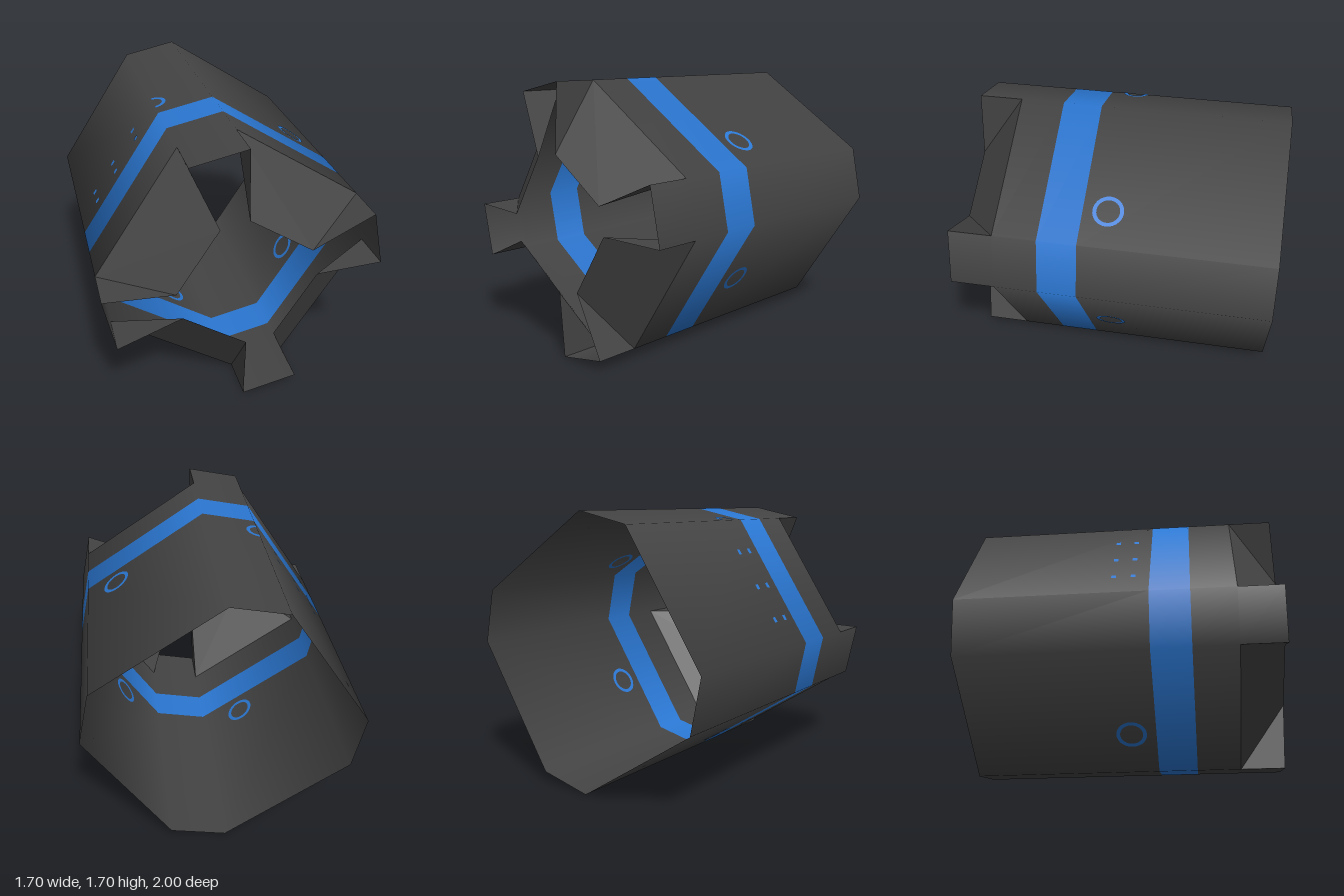
import * as THREE from 'three';

const R = 0.85, CY = 0.85;                 // radius and height of the axis
const BACK = -1, BAND0 = 0.18, BAND1 = 0.425, NOTCH = 0.7, LUG = 0.975, TIP = 1;

// Eight corners, clockwise from the top: long sides (even) and short sides (odd)
const corners = [];
for (let q = 0; q < 4; q++) {
  for (const deg of [90, 23.7]) {
    const a = THREE.MathUtils.degToRad(deg - q * 90);
    corners.push(new THREE.Vector2(Math.cos(a), Math.sin(a)).multiplyScalar(R));
  }
}
const corner = (i) => corners[i % 8];
const at = (p, z, k = 1) => [p.x * k, p.y * k, z];

function geometryFrom(points, normals) {
  const g = new THREE.BufferGeometry();
  g.setAttribute('position', new THREE.Float32BufferAttribute(points.flat(), 3));
  if (normals) g.setAttribute('normal', new THREE.Float32BufferAttribute(normals.flat(), 3));
  else g.computeVertexNormals();
  return g;
}

// Smoothly shaded wall over the given sides of the tube
function wall(sides, z0, z1) {
  const pts = [];
  for (const i of sides) {
    const a = corner(i), b = corner(i + 1);
    pts.push(at(a, z0), at(a, z1), at(b, z1), at(a, z0), at(b, z1), at(b, z0));
  }
  return geometryFrom(pts, pts.map(([x, y]) => [x / R, y / R, 0]));
}

export function createModel() {
  const model = new THREE.Group();
  const body = new THREE.Group();
  body.name = 'tube';
  body.position.y = CY;
  model.add(body);

  const grey = new THREE.MeshStandardMaterial({ color: 0x444444, side: THREE.DoubleSide });
  grey.name = 'dark grey';
  const blue = new THREE.MeshStandardMaterial({ color: 0x2b78d4, side: THREE.DoubleSide });
  blue.name = 'blue';

  const add = (name, geometry, material) => {
    const mesh = new THREE.Mesh(geometry, material);
    mesh.name = name;
    body.add(mesh);
    return mesh;
  };

  // Open tube with a painted band
  const all = [0, 1, 2, 3, 4, 5, 6, 7];
  add('rearWall', wall(all, BACK, BAND0), grey);
  add('band', wall(all, BAND0, BAND1), blue);
  add('frontWall', wall(all, BAND1, NOTCH), grey);
  add('lugWalls', wall([1, 3, 5, 7], NOTCH, LUG), grey);

  // Sloped notch on each long side: ramp to half radius and two triangular cheeks
  for (const i of [0, 2, 4, 6]) {
    const a = corner(i), b = corner(i + 1);
    const a0 = at(a, NOTCH), b0 = at(b, NOTCH);
    const a1 = at(a, TIP, 0.5), b1 = at(b, TIP, 0.5);
    add('notchRamp', geometryFrom([a0, a1, b1, a0, b1, b0]), grey);
    add('notchCheeks', geometryFrom([a0, at(a, LUG), a1, b0, b1, at(b, LUG)]), grey);
  }

  // Flat marking laid on both faces of one side, t along the side
  function mark(name, geometry, side, t, z) {
    const a = corner(side), b = corner(side + 1);
    const dir = b.clone().sub(a).normalize();
    const p = a.clone().lerp(b, t);
    const along = new THREE.Vector3(dir.x, dir.y, 0);
    const out = new THREE.Vector3(-dir.y, dir.x, 0);
    const basis = new THREE.Matrix4().makeBasis(along, new THREE.Vector3(0, 0, -1), out);
    for (const offset of [0.003, -0.003]) {
      const mesh = add(name, geometry, blue);
      mesh.quaternion.setFromRotationMatrix(basis);
      mesh.position.set(p.x, p.y, z).addScaledVector(out, offset);
    }
  }

  // Ring markings, and a half ring beside the dotted side
  const ring = new THREE.RingGeometry(0.072, 0.096, 28);
  mark('ringMark', ring, 0, 0.75, 0.025);
  mark('ringMark', ring, 2, 0.54, 0.025);
  mark('ringMark', ring, 4, 0.33, 0.025);
  mark('halfRingMark', new THREE.RingGeometry(0.056, 0.08, 16, 1, -Math.PI / 2, Math.PI), 7, 0, 0.02);

  // Pairs of small dots on the upper side
  const dot = new THREE.PlaneGeometry(0.035, 0.03);
  for (const x of [-0.74, -0.61, -0.47]) {
    for (const z of [-0.04, 0.08]) mark('dotMark', dot, 6, (x + R) / 0.51, z);
  }

  return model;
}
